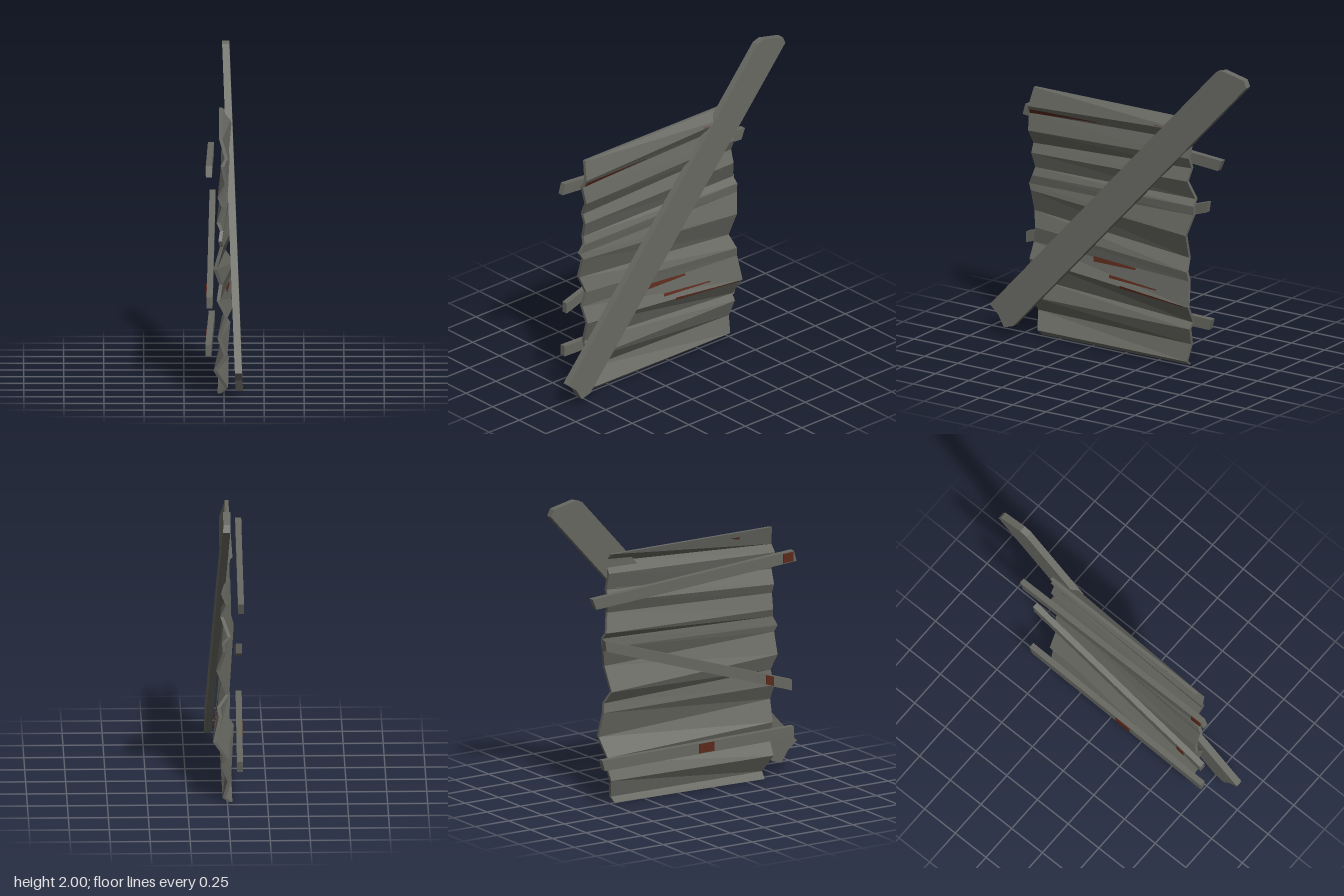
import * as THREE from 'three';

const metal = new THREE.MeshStandardMaterial({ color: 0x686862, flatShading: true });
metal.name = 'weathered grey';
const rust = new THREE.MeshStandardMaterial({ color: 0x5c2a1c, flatShading: true, side: THREE.DoubleSide });
rust.name = 'rust';

// Sheet folds, top to bottom: [front y, front x, front z, back y, back x, back z]
const folds = [
  [1.62, -0.02, 0.69, 1.62, -0.02, -0.50],
  [1.50, 0.015, 0.71, 1.56, 0.040, -0.51],
  [1.45, -0.010, 0.72, 1.49, 0.000, -0.51],
  [1.34, 0.015, 0.71, 1.38, 0.030, -0.51],
  [1.25, -0.030, 0.70, 1.31, 0.000, -0.51],
  [1.19, -0.005, 0.70, 1.23, 0.035, -0.50],
  [1.09, -0.035, 0.69, 1.11, -0.010, -0.535],
  [1.04, -0.015, 0.70, 1.07, 0.025, -0.54],
  [0.98, -0.025, 0.73, 1.01, 0.020, -0.54],
  [0.94, -0.015, 0.71, 0.88, 0.060, -0.505],
  [0.80, -0.055, 0.71, 0.72, 0.000, -0.49],
  [0.70, -0.020, 0.68, 0.64, 0.055, -0.51],
  [0.60, -0.035, 0.70, 0.58, 0.045, -0.52],
  [0.50, 0.015, 0.70, 0.42, 0.080, -0.535],
  [0.36, -0.030, 0.69, 0.30, 0.000, -0.52],
  [0.25, 0.010, 0.69, 0.26, 0.030, -0.515],
  [0.15, -0.055, 0.68, 0.15, -0.010, -0.50],
  [0.04, 0.015, 0.64, 0.04, 0.020, -0.485],
  [0.00, -0.030, 0.63, 0.01, -0.020, -0.48],
];
const half = 0.011;

// Point on the sheet: fold row (may be fractional), 0 front to 1 back, x offset
function sheetPoint(row, t, dx) {
  const i = Math.min(Math.floor(row), folds.length - 2), f = row - i;
  const r = folds[i].map((v, k) => v + (folds[i + 1][k] - v) * f);
  const mix = k => r[k] + (r[k + 3] - r[k]) * t;
  return [mix(1) + dx, mix(0), mix(2)];
}

function quadMesh(name, quads, material) {
  const pos = quads.flatMap(([a, b, c, d]) => [...a, ...b, ...c, ...a, ...c, ...d]);
  const geo = new THREE.BufferGeometry();
  geo.setAttribute('position', new THREE.Float32BufferAttribute(pos, 3));
  geo.computeVertexNormals();
  const mesh = new THREE.Mesh(geo, material);
  mesh.name = name;
  return mesh;
}

function corrugatedSheet() {
  const quads = [], n = folds.length - 1;
  const F = (i, s) => sheetPoint(i, 0, s * half), B = (i, s) => sheetPoint(i, 1, s * half);
  for (let i = 0; i < n; i++) {
    quads.push([F(i, 1), F(i + 1, 1), B(i + 1, 1), B(i, 1)]);
    quads.push([B(i, -1), B(i + 1, -1), F(i + 1, -1), F(i, -1)]);
    quads.push([F(i, -1), F(i + 1, -1), F(i + 1, 1), F(i, 1)]);
    quads.push([B(i, 1), B(i + 1, 1), B(i + 1, -1), B(i, -1)]);
  }
  quads.push([B(0, -1), F(0, -1), F(0, 1), B(0, 1)]);
  quads.push([B(n, 1), F(n, 1), F(n, -1), B(n, -1)]);
  return quadMesh('corrugatedSheet', quads, metal);
}

// Tapering rust streak lying on one face of the sheet
function streak(row0, row1, t0, t1, side, taper = 0.3) {
  const dx = side * (half + 0.004), mid = (row0 + row1) / 2, h = (row1 - row0) / 2 * taper;
  return quadMesh('rustStreak', [[sheetPoint(row0, t0, dx), sheetPoint(row1, t0, dx),
    sheetPoint(mid + h, t1, dx), sheetPoint(mid - h, t1, dx)]], rust);
}

// Bar between two end centres with slanted ends
function bar(name, a, b, w, h, material, shearA = 0, shearB = 0) {
  const geo = new THREE.BoxGeometry(1, 1, 1), p = geo.attributes.position;
  for (let i = 0; i < p.count; i++) {
    const t = 0.5 - p.getZ(i), y = p.getY(i);
    const q = a.map((v, k) => v + (b[k] - v) * t);
    p.setXYZ(i, q[0] + p.getX(i) * w, q[1] + y * h, q[2] + y * (shearA * (1 - t) + shearB * t));
  }
  geo.computeVertexNormals();
  const mesh = new THREE.Mesh(geo, material);
  mesh.name = name;
  return mesh;
}

// Cross batten with a rust patch on its outer face
function batten(name, a, b, shearA, shearB, t0, t1) {
  const g = new THREE.Group();
  g.name = name;
  const at = t => a.map((v, k) => v + (b[k] - v) * t - (k === 0 ? 0.021 : 0));
  g.add(bar(name + 'Bar', a, b, 0.038, 0.07, metal, shearA, shearB));
  g.add(bar(name + 'Rust', at(t0), at(t1), 0.005, 0.06, rust));
  return g;
}

// Long diagonal plank with chipped ends, leaning in towards the top
function diagonalPlank() {
  const outline = [[-0.94, 0.18], [-0.875, 0.125], [-0.83, 0.05], [-0.76, 0.07],
    [0.94, 1.92], [0.92, 1.965], [0.76, 2.0], [0.71, 1.985]];
  const shape = new THREE.Shape(outline.map(([u, v]) => new THREE.Vector2(u, v)));
  const geo = new THREE.ExtrudeGeometry(shape, { depth: 0.045, bevelEnabled: false });
  geo.rotateY(Math.PI / 2);
  const p = geo.attributes.position;
  for (let i = 0; i < p.count; i++) p.setX(i, p.getX(i) + 0.075 - 0.043 * p.getY(i));
  geo.computeVertexNormals();
  const mesh = new THREE.Mesh(geo, metal);
  mesh.name = 'diagonalPlank';
  return mesh;
}

export function createModel() {
  const model = new THREE.Group();
  model.name = 'scrapBarricade';
  model.add(corrugatedSheet(), diagonalPlank());

  // Battens behind the sheet
  model.add(batten('upperBatten', [-0.095, 1.435, 0.81], [-0.08, 1.335, -0.675], -0.02, -0.03, 0.01, 0.06));
  model.add(batten('middleBatten', [-0.09, 0.60, 0.79], [-0.07, 1.05, -0.585], 0, -0.01, 0.10, 0.14));
  model.add(batten('lowerBatten', [-0.098, 0.30, 0.80], [-0.075, 0.28, -0.605], 0, -0.02, 0.42, 0.50));

  // Rust on both faces of the sheet
  model.add(
    streak(1.4, 2.0, 0.01, 0.42, 1, 0.1),
    streak(0.7, 0.95, 0.79, 0.86, 1),
    streak(11.9, 12.2, 0.39, 0.66, 1),
    streak(12.6, 12.75, 0.5, 0.8, 1),
    streak(12.95, 13.1, 0.57, 0.97, 1),
    streak(0.3, 0.6, 0.2, 0.42, -1),
  );
  return model;
}
